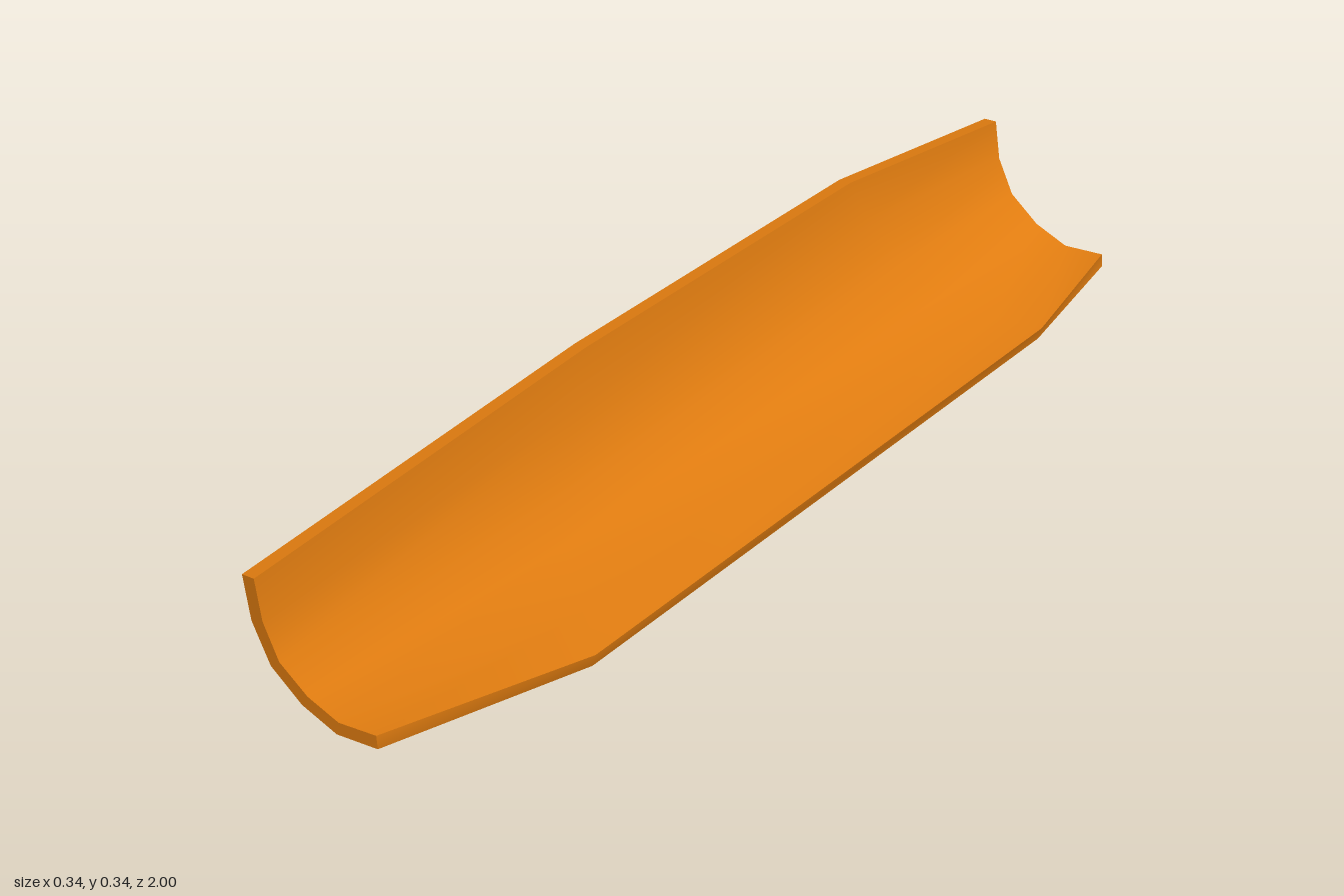
import * as THREE from 'three';
import { toCreasedNormals } from 'three/addons/utils/BufferGeometryUtils.js';

// Outer skin: one row per station (front to back), [x, y] from the high left rail to the low right rail
const OUTER = [
  [[-0.097, 0.332], [-0.087, 0.25], [-0.055, 0.178], [0.004, 0.129], [0.072, 0.102], [0.154, 0.109]],
  [[-0.154, 0.334], [-0.131, 0.237], [-0.08, 0.131], [-0.025, 0.07], [0.088, 0.021], [0.163, 0.001]],
  [[-0.172, 0.327], [-0.157, 0.237], [-0.095, 0.145], [-0.025, 0.076], [0.075, 0.042], [0.153, 0.033]],
  [[-0.115, 0.321], [-0.105, 0.24], [-0.07, 0.167], [-0.008, 0.115], [0.064, 0.086], [0.15, 0.093]],
];
// Depth of each station at the left rail and at the right rail
const DEPTH = [[1, 0.983], [0.15, 0.49], [-0.61, -0.79], [-0.985, -1]];
// Wall thickness as an inward offset per column
const WALL = [[0.025, 0.002], [0.024, 0.008], [0.019, 0.015], [0.013, 0.021], [0.005, 0.024], [0, 0.024]];

// Closed ring: outer skin left to right, then inner skin right to left
function ring(s) {
  const outer = [], inner = [];
  OUTER[s].forEach(([x, y], i) => {
    const z = THREE.MathUtils.lerp(DEPTH[s][0], DEPTH[s][1], i / 5);
    let [dx, dy] = WALL[i];
    if (i === 5) dx = s === 1 || s === 2 ? 0.007 : -0.002;
    outer.push([x, y, z]);
    inner.unshift([x + dx, y + dy, z]);
  });
  return [...outer, ...inner];
}

function shellGeometry() {
  const rings = OUTER.map((_, s) => ring(s));
  const pos = [];
  const quad = (a, b, c, d) => pos.push(...a, ...b, ...c, ...a, ...c, ...d);

  // Skins and rails
  for (let s = 0; s < rings.length - 1; s++) {
    const f = rings[s], b = rings[s + 1];
    for (let i = 0; i < 12; i++) {
      const j = (i + 1) % 12;
      quad(f[i], b[i], b[j], f[j]);
    }
  }
  // End faces
  const f = rings[0], b = rings[rings.length - 1];
  for (let i = 0; i < 5; i++) {
    quad(f[i], f[i + 1], f[10 - i], f[11 - i]);
    quad(b[i], b[11 - i], b[10 - i], b[i + 1]);
  }

  const geo = new THREE.BufferGeometry();
  geo.setAttribute('position', new THREE.Float32BufferAttribute(pos, 3));
  return toCreasedNormals(geo, THREE.MathUtils.degToRad(42));
}

export function createModel() {
  const orange = new THREE.MeshStandardMaterial({ color: 0xe07c10 });
  orange.name = 'orange';

  const shell = new THREE.Mesh(shellGeometry(), orange);
  shell.name = 'curvedPanel';

  const group = new THREE.Group();
  group.name = 'curvedShell';
  group.add(shell);
  return group;
}
